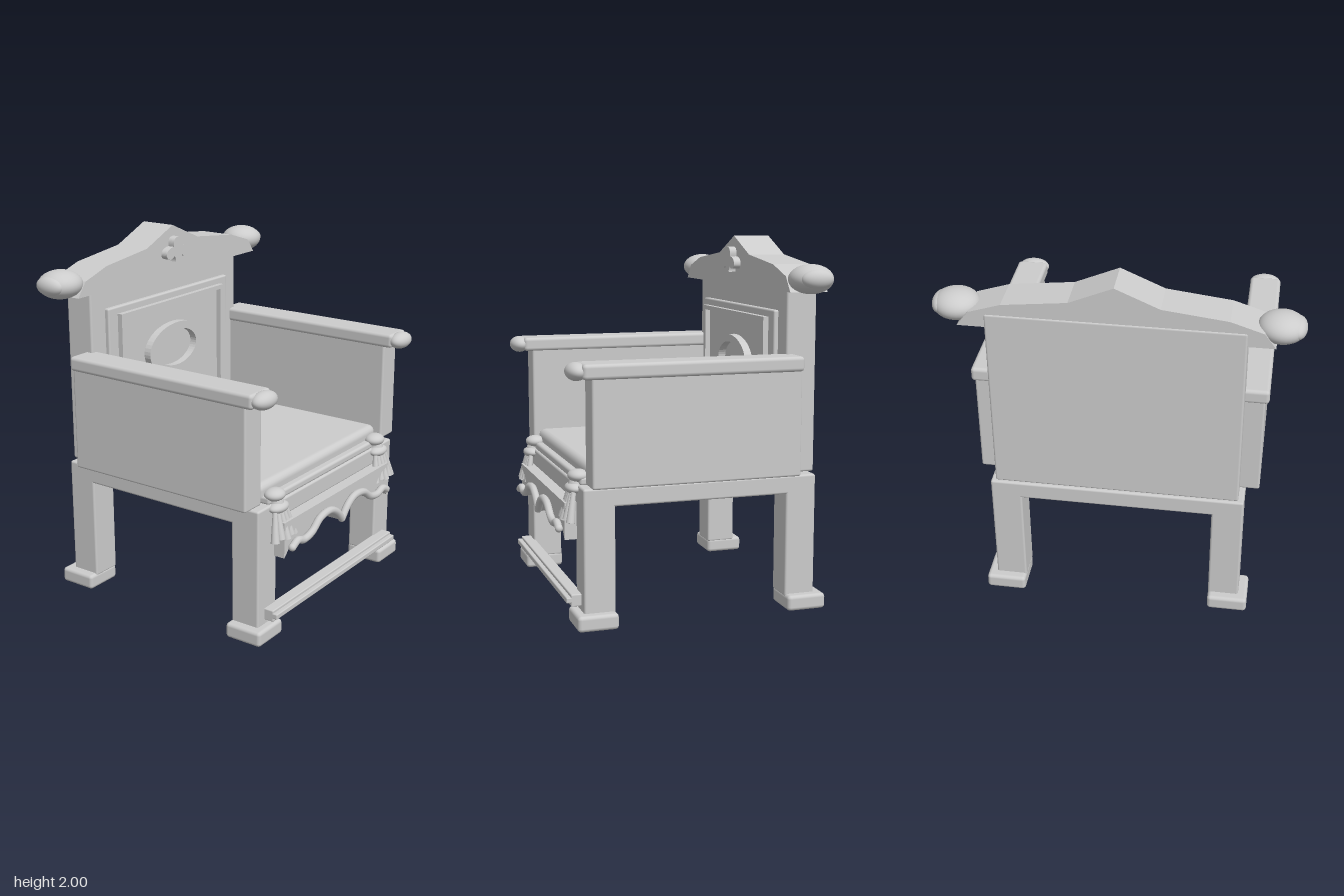
import * as THREE from 'three';
import { RoundedBoxGeometry } from 'three/addons/geometries/RoundedBoxGeometry.js';

export function createModel() {
  const model = new THREE.Group();
  model.name = 'armchair';
  const grey = new THREE.MeshStandardMaterial({ color: 0xcccccc });
  grey.name = 'pale grey';

  const add = (name, geometry, x = 0, y = 0, z = 0) => {
    const mesh = new THREE.Mesh(geometry, grey);
    mesh.name = name;
    mesh.position.set(x, y, z);
    model.add(mesh);
    return mesh;
  };
  // Rounded box given by its limits on each axis
  const box = (name, x0, x1, y0, y1, z0, z1, r = 0.012) =>
    add(name, new RoundedBoxGeometry(x1 - x0, y1 - y0, z1 - z0, 2, r),
      (x0 + x1) / 2, (y0 + y1) / 2, (z0 + z1) / 2);
  const sidedBox = (name, s, x0, x1, ...rest) =>
    box(name, Math.min(s * x0, s * x1), Math.max(s * x0, s * x1), ...rest);
  const ball = (name, x, y, z, rx, ry, rz) =>
    add(name, new THREE.SphereGeometry(1, 32, 20), x, y, z).scale.set(rx, ry, rz);
  const plate = (name, shape, z0, z1) =>
    add(name, new THREE.ExtrudeGeometry(shape, { depth: z1 - z0, bevelEnabled: false, curveSegments: 24 }), 0, 0, z0);
  const shapeOf = (pts) => new THREE.Shape(pts.map(([x, y]) => new THREE.Vector2(x, y)));
  const rect = (w, y0, y1) => shapeOf([[-w, y0], [w, y0], [w, y1], [-w, y1]]);

  // Seat frame, cushion and front rail
  box('seatFrame', -0.69, 0.69, 0.64, 0.74, -0.67, 0.62);
  box('cushion', -0.6, 0.6, 0.735, 0.845, -0.5, 0.57, 0.04);
  box('seatFrontRail', -0.58, 0.58, 0.735, 0.78, 0.5, 0.61, 0.015);

  // Legs and feet
  for (const s of [-1, 1]) {
    sidedBox('frontLeg', s, 0.52, 0.69, 0.07, 0.73, 0.45, 0.62);
    sidedBox('backLeg', s, 0.52, 0.69, 0.07, 0.73, -0.67, -0.5);
    sidedBox('frontFoot', s, 0.52, 0.74, 0, 0.085, 0.445, 0.665, 0.02);
    sidedBox('backFoot', s, 0.52, 0.74, 0, 0.085, -0.72, -0.5, 0.02);
  }

  // Front stretcher with a bead along it
  box('stretcher', -0.63, 0.63, 0.11, 0.175, 0.61, 0.675, 0.006);
  box('stretcherBead', -0.63, 0.63, 0.13, 0.16, 0.66, 0.7, 0.006);

  // Arms, armrests and their rounded ends
  for (const s of [-1, 1]) {
    sidedBox('armPanel', s, 0.62, 0.765, 0.75, 1.33, -0.55, 0.59);
    sidedBox('armrest', s, 0.61, 0.785, 1.31, 1.39, -0.555, 0.64, 0.02);
    ball('armrestKnob', s * 0.695, 1.348, 0.655, 0.088, 0.047, 0.055);
  }

  // Back board with a framed panel and an oval moulding
  box('backBoard', -0.66, 0.66, 0.75, 1.8, -0.67, -0.5);
  box('backPanel', -0.545, 0.545, 0.88, 1.615, -0.52, -0.475, 0.01);
  const frame = rect(0.47, 0.92, 1.575);
  frame.holes.push(rect(0.44, 0.945, 1.55));
  plate('panelMoulding', frame, -0.48, -0.445);
  const oval = new THREE.Shape().absellipse(0, 1.29, 0.25, 0.148, 0, Math.PI * 2);
  oval.holes.push(new THREE.Path().absellipse(0, 1.29, 0.177, 0.106, 0, Math.PI * 2, true));
  plate('ovalMoulding', oval, -0.48, -0.432);

  // Peaked crest rail with end knobs
  const crest = [[0.8, 1.725], [0.74, 1.805], [0.57, 1.86], [0.23, 1.9]];
  plate('crestRail', shapeOf([
    ...crest.map(([x, y]) => [x, y]), [0, 2],
    ...crest.slice().reverse().map(([x, y]) => [-x, y])]), -0.665, -0.455);
  for (const s of [-1, 1]) {
    ball('crestKnob', s * 0.82, 1.793, -0.56, 0.122, 0.077, 0.117);
    ball('crestKnobTip', s * 0.897, 1.795, -0.56, 0.048, 0.052, 0.088);
  }

  // Three-lobed ornament on the crest
  const clover = new THREE.Shape();
  clover.moveTo(-0.025, 1.797);
  clover.lineTo(0.025, 1.797);
  clover.quadraticCurveTo(0.022, 1.815, 0.035, 1.832);
  clover.bezierCurveTo(0.06, 1.805, 0.105, 1.815, 0.105, 1.845);
  clover.bezierCurveTo(0.105, 1.872, 0.07, 1.885, 0.04, 1.885);
  clover.bezierCurveTo(0.045, 1.915, 0.035, 1.938, 0, 1.938);
  clover.bezierCurveTo(-0.035, 1.938, -0.045, 1.915, -0.04, 1.885);
  clover.bezierCurveTo(-0.07, 1.885, -0.105, 1.872, -0.105, 1.845);
  clover.bezierCurveTo(-0.105, 1.815, -0.06, 1.805, -0.035, 1.832);
  clover.quadraticCurveTo(-0.022, 1.815, -0.025, 1.797);
  plate('crestOrnament', clover, -0.46, -0.415);

  // Scalloped apron with a rope moulding along its lower edge
  const scallop = [[0, 0.49], [0.06, 0.55], [0.13, 0.582], [0.23, 0.572], [0.31, 0.52], [0.39, 0.505], [0.45, 0.522], [0.5, 0.5]];
  const halfCurve = (s) => new THREE.CatmullRomCurve3(scallop.map(([x, y]) => new THREE.Vector3(s * x, y, 0.705)));
  const edge = halfCurve(1).getPoints(32).map((p) => [p.x, p.y - 0.012]);
  plate('apron', shapeOf([
    [0.545, 0.645], [-0.545, 0.645], [-0.545, 0.447],
    ...edge.slice(1).reverse().map(([x, y]) => [-x, y]), ...edge, [0.545, 0.447]]), 0.61, 0.685);
  for (const s of [-1, 1]) {
    add('apronRope', new THREE.TubeGeometry(halfCurve(s), 40, 0.021, 10));
    ball('apronRopeEnd', s * 0.5, 0.5, 0.705, 0.021, 0.021, 0.021);
  }
  ball('apronRopeJoint', 0, 0.49, 0.705, 0.021, 0.021, 0.021);

  // Tassels: knob, neck, collar and a fan of strands
  const up = new THREE.Vector3(0, 1, 0);
  for (const s of [-1, 1]) {
    const x = s * 0.52;
    ball('tasselKnob', x, 0.782, 0.605, 0.062, 0.034, 0.055);
    add('tasselNeck', new THREE.CylinderGeometry(0.03, 0.045, 0.05, 20), x, 0.74, 0.62);
    ball('tasselCollar', x, 0.718, 0.63, 0.072, 0.03, 0.045);
    for (let i = -2; i <= 2; i++) {
      const top = new THREE.Vector3(x + i * 0.024, 0.715, 0.64);
      const end = new THREE.Vector3(x + i * 0.043, 0.55 + (i % 2 ? 0.01 : 0), 0.685 - Math.abs(i) * 0.008);
      const mid = top.clone().add(end).multiplyScalar(0.5);
      const strand = add('tasselStrand',
        new THREE.CylinderGeometry(0.012, 0.024, top.distanceTo(end), 12), mid.x, mid.y, mid.z);
      strand.quaternion.setFromUnitVectors(up, top.sub(end).normalize());
    }
  }
  return model;
}
